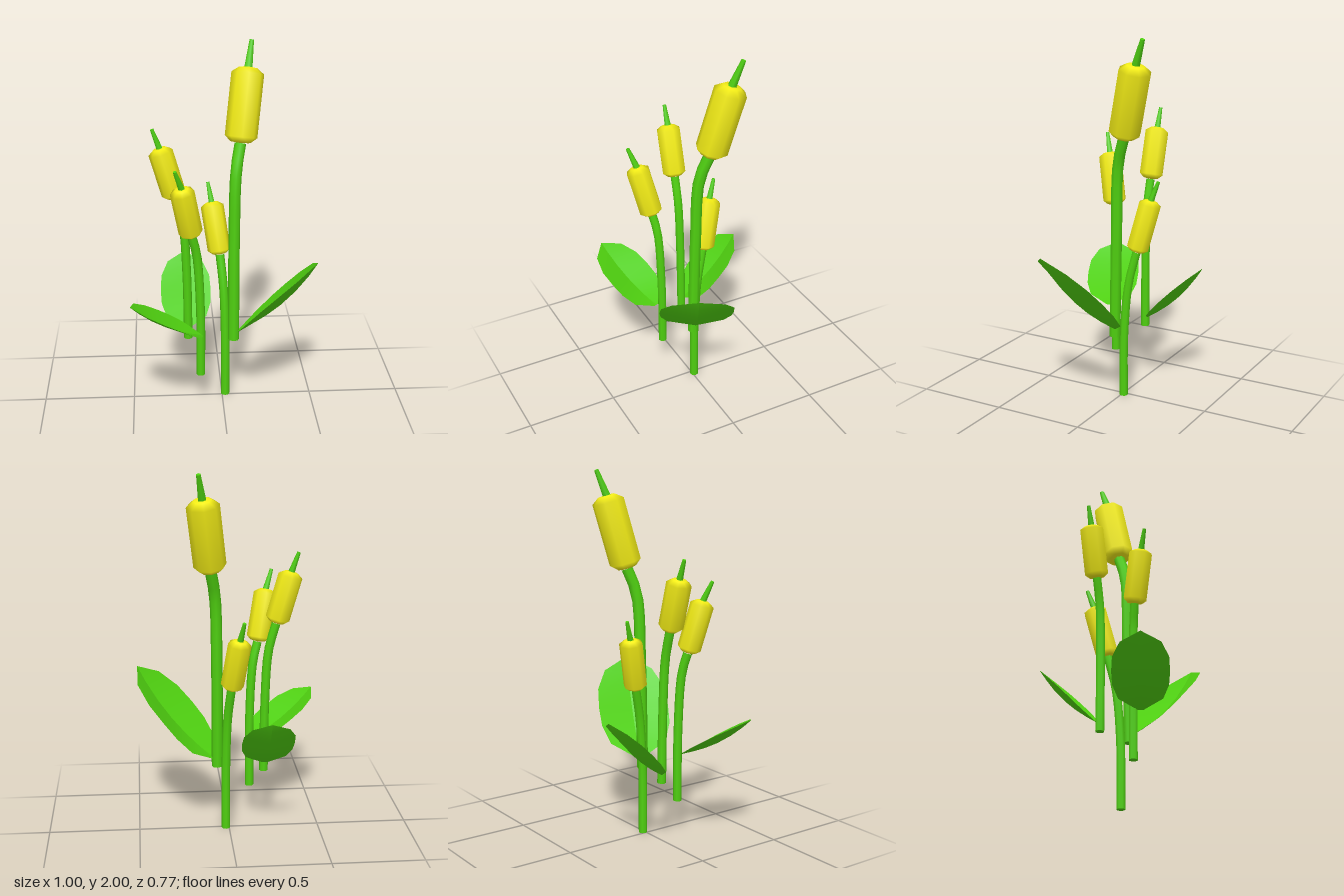
import * as THREE from 'three';

const V = (a) => new THREE.Vector3(...a);
const UP = new THREE.Vector3(0, 1, 0);
const green = new THREE.MeshStandardMaterial({ color: 0x4fd010 });
const leafGreen = new THREE.MeshStandardMaterial({ color: 0x4fd010, side: THREE.DoubleSide });
const yellow = new THREE.MeshStandardMaterial({ color: 0xf2ec16 });

function add(group, name, geometry, material) {
  const mesh = new THREE.Mesh(geometry, material);
  mesh.name = name;
  group.add(mesh);
  return mesh;
}

// Stand a mesh modelled along +y on point a, pointing at point b
function aim(mesh, a, b) {
  mesh.position.copy(a);
  mesh.quaternion.setFromUnitVectors(UP, b.clone().sub(a).normalize());
}

// One reed: bent stem, chamfered seed head and tapered spike
function reed({ path, top, tip, stemR, headR }) {
  const group = new THREE.Group();
  group.name = 'reed';
  const pts = path.map(V), headTop = V(top), spikeTip = V(tip);
  const headBase = pts[pts.length - 1];

  const curve = new THREE.CatmullRomCurve3(pts);
  add(group, 'stem', new THREE.TubeGeometry(curve, 12, stemR, 8), green);
  const cap = add(group, 'stemEnd', new THREE.CircleGeometry(stemR, 8).rotateX(Math.PI / 2), green);
  cap.position.copy(pts[0]);

  const h = headBase.distanceTo(headTop), c = headR * 0.4;
  const profile = [[0, 0], [headR * 0.62, 0.005], [headR, c], [headR, h - c], [headR * 0.55, h - 0.006], [0, h]]
    .map(([r, y]) => new THREE.Vector2(r, y));
  aim(add(group, 'seedHead', new THREE.LatheGeometry(profile, 8), yellow), headBase, headTop);

  const len = headTop.distanceTo(spikeTip) + 0.02;
  const spike = new THREE.CylinderGeometry(stemR * 0.42, stemR * 0.8, len, 6).translate(0, len / 2 - 0.02, 0);
  aim(add(group, 'spike', spike, green), headTop, spikeTip);
  return group;
}

// Broad leaf: two wings folded up from a sagging midrib
const ROWS = [[0, 0.03], [0.14, 0.235], [0.31, 0.293], [0.48, 0.302], [0.67, 0.29], [0.86, 0.21], [1, 0]];
function leaf(base, tip) {
  const a = V(base), along = V(tip).sub(a), len = along.length();
  const side = along.clone().cross(UP).normalize();
  const normal = side.clone().cross(along).normalize();
  const group = new THREE.Group();
  group.name = 'leaf';
  for (const s of [-1, 1]) {
    const pos = [], index = [];
    ROWS.forEach(([t, w], i) => {
      const p = a.clone().addScaledVector(along, t);
      const bulge = 4 * t * (1 - t) * len;
      const rib = p.clone().addScaledVector(normal, -0.065 * bulge);
      const edge = p.clone().addScaledVector(side, s * w * len).addScaledVector(normal, 0.02 * bulge);
      pos.push(...rib.toArray(), ...edge.toArray());
      if (i) {
        const k = 2 * i - 2;
        if (s > 0) index.push(k, k + 1, k + 2, k + 1, k + 3, k + 2);
        else index.push(k, k + 2, k + 1, k + 1, k + 2, k + 3);
      }
    });
    const g = new THREE.BufferGeometry();
    g.setAttribute('position', new THREE.Float32BufferAttribute(pos, 3));
    g.setIndex(index);
    g.computeVertexNormals();
    add(group, s > 0 ? 'leafWingA' : 'leafWingB', g, leafGreen);
  }
  return group;
}

export function createModel() {
  const model = new THREE.Group();
  model.name = 'reeds';

  // Tall, short, left and front reeds
  const reeds = [
    { path: [[0.063, 0.36, 0.02], [0.065, 0.95, 0.008], [0.075, 1.33, -0.008], [0.1, 1.475, -0.055]],
      top: [0.148, 1.865, -0.152], tip: [0.168, 1.995, -0.2], stemR: 0.031, headR: 0.087 },
    { path: [[0.018, 0, -0.01], [0.018, 0.35, -0.012], [0.01, 0.65, -0.035], [-0.008, 0.835, -0.075]],
      top: [-0.05, 1.122, -0.14], tip: [-0.068, 1.222, -0.173], stemR: 0.024, headR: 0.063 },
    { path: [[-0.188, 0.35, -0.035], [-0.193, 0.75, -0.032], [-0.21, 1.03, -0.03], [-0.25, 1.185, -0.03]],
      top: [-0.33, 1.465, -0.03], tip: [-0.366, 1.565, -0.03], stemR: 0.024, headR: 0.066 },
    { path: [[-0.125, 0.2, 0.12], [-0.125, 0.6, 0.122], [-0.143, 0.92, 0.132], [-0.17, 1.035, 0.15]],
      top: [-0.222, 1.32, 0.212], tip: [-0.255, 1.42, 0.245], stemR: 0.024, headR: 0.064 },
  ];
  for (const r of reeds) model.add(reed(r));

  // Leaves on the left, front right and back
  model.add(leaf([0.085, 0.41, 0.02], [0.495, 0.89, 0.215]));
  model.add(leaf([-0.12, 0.46, 0.16], [-0.5, 0.71, 0.32]));
  model.add(leaf([-0.195, 0.4, -0.05], [-0.195, 0.735, -0.38]));
  return model;
}
